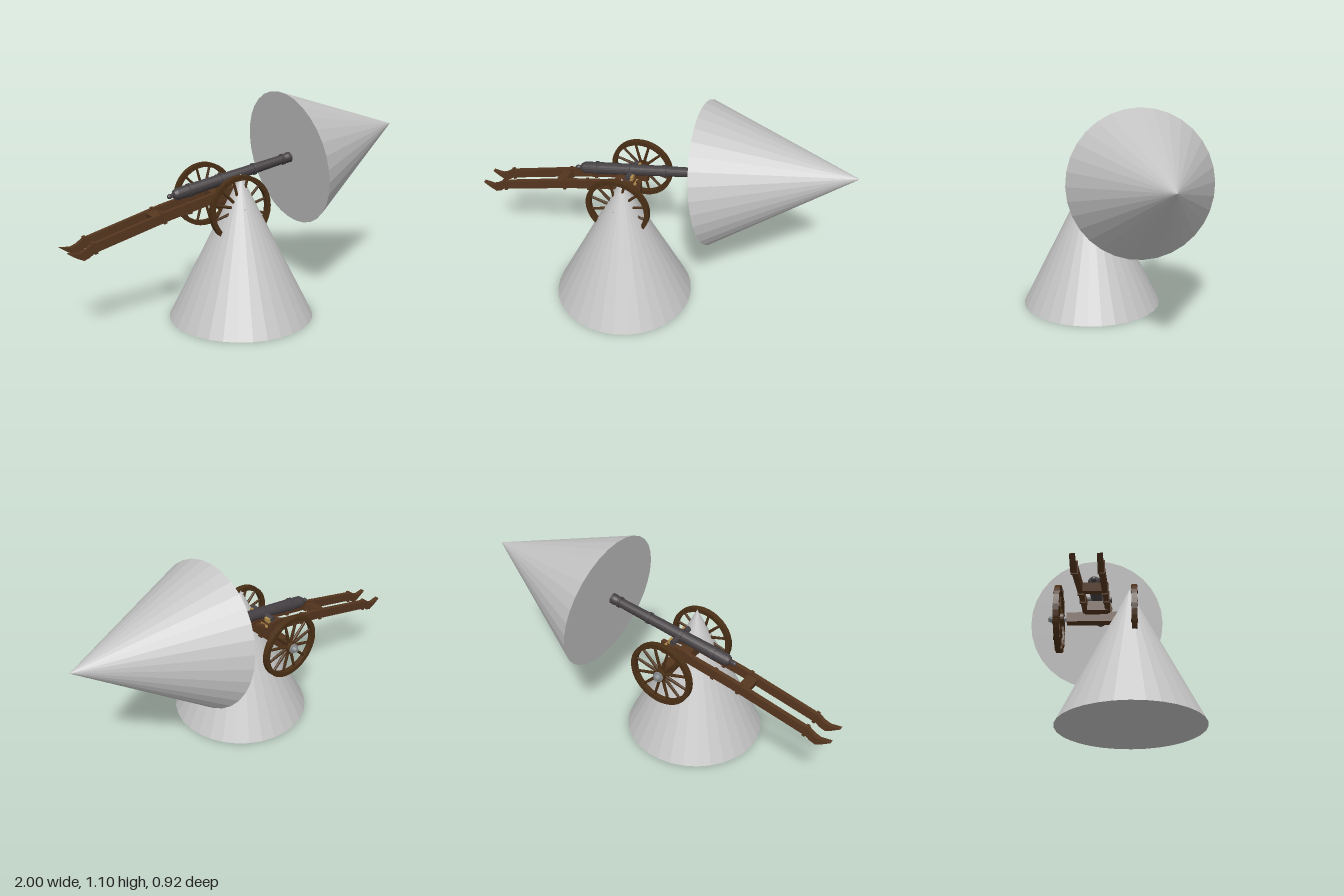
import * as THREE from 'three';

const mat = (name, color) => {
  const m = new THREE.MeshStandardMaterial({ color, flatShading: true });
  m.name = name;
  return m;
};

export function createModel() {
  const root = new THREE.Group();
  root.name = 'fieldGun';
  const stone = mat('pale grey', 0xc4c4c4);
  const wood = mat('brown wood', 0x55361f);
  const darkWood = mat('dark wheel wood', 0x4a2f16);
  const iron = mat('gun iron', 0x454043);
  const steel = mat('hub steel', 0x868a8c);
  const brass = mat('brass', 0xb08d4a);

  const add = (parent, name, geo, material, x = 0, y = 0, z = 0) => {
    const m = new THREE.Mesh(geo, material);
    m.name = name;
    m.position.set(x, y, z);
    parent.add(m);
    return m;
  };
  const box = (w, h, d) => new THREE.BoxGeometry(w, h, d);
  const rodZ = (r, len, sides = 16) => new THREE.CylinderGeometry(r, r, len, sides).rotateX(Math.PI / 2);
  const MID = -0.07; // centre plane of the gun in z
  const WX = -0.152, WY = 0.563; // axle position

  // Two large cones: one standing, one at the muzzle
  add(root, 'standingCone', new THREE.ConeGeometry(0.367, 0.735, 32), stone, -0.135, 0.3675, 0.095);
  const muzzleCone = add(root, 'muzzleCone', new THREE.ConeGeometry(0.367, 0.732, 32), stone, 0.635, 0.804, -0.093);
  muzzleCone.rotation.z = -Math.PI / 2 + 0.176;

  // Barrel, turned around its own axis (x = distance back from the muzzle)
  const barrel = new THREE.Group();
  barrel.name = 'barrel';
  barrel.position.set(0.275, 0.75, MID);
  barrel.rotation.z = -Math.PI / 2 + 0.171;
  root.add(barrel);
  const profile = [
    [0, -0.745], [0.008, -0.742], [0.013, -0.732], [0.01, -0.722], [0.009, -0.715],
    [0.022, -0.707], [0.03, -0.69], [0.031, -0.6], [0.029, -0.42], [0.024, -0.04],
    [0.028, -0.02], [0.028, 0.005], [0.016, 0.005], [0.016, -0.05], [0, -0.05],
  ].map(p => new THREE.Vector2(...p));
  add(barrel, 'gunTube', new THREE.LatheGeometry(profile, 20), iron);
  for (const [y, r] of [[-0.62, 0.035], [-0.43, 0.033], [-0.235, 0.031], [-0.05, 0.029]])
    add(barrel, 'barrelBand', new THREE.CylinderGeometry(r, r, 0.014, 20), iron, 0, y);
  add(root, 'trunnion', rodZ(0.015, 0.15), iron, -0.14, 0.672, MID);

  // Trail beams with cheeks in front and upturned ends behind
  const side = new THREE.Shape([
    [-0.07, 0.585], [-0.07, 0.655], [-0.2, 0.642], [-0.25, 0.622], [-0.473, 0.575],
    [-0.885, 0.468], [-0.912, 0.447], [-0.945, 0.434], [-1, 0.441], [-0.96, 0.414],
    [-0.925, 0.397], [-0.896, 0.408], [-0.875, 0.424], [-0.473, 0.526], [-0.22, 0.578],
  ].reverse().map(p => new THREE.Vector2(...p)));
  for (const s of [-1, 1]) {
    const z = MID + s * 0.056;
    add(root, 'trailBeam', new THREE.ExtrudeGeometry(side, { depth: 0.024, bevelEnabled: false }), wood, 0, 0, z - 0.012);
    for (const [x, y] of [[-0.87, 0.448], [-0.51, 0.54], [-0.37, 0.57]])
      add(root, 'beamBand', box(0.016, 0.058, 0.03), wood, x, y, z).rotation.z = 0.245;
    add(root, 'cheekPlate', box(0.085, 0.05, 0.036), wood, -0.115, 0.62, z);
    // Brass caps over the trunnions
    add(root, 'trunnionCap', box(0.032, 0.022, 0.03), brass, -0.13, 0.668, z);
    add(root, 'capBolt', rodZ(0.008, 0.04, 8), brass, -0.1, 0.645, z);
  }
  // Cross pieces between the beams
  add(root, 'rearTransom', box(0.055, 0.04, 0.115), wood, -0.527, 0.535, MID).rotation.z = 0.24;
  add(root, 'frontTransom', box(0.05, 0.05, 0.115), wood, -0.2, 0.6, MID);

  // Axle
  add(root, 'axleTree', box(0.05, 0.05, 0.3), wood, WX, WY, MID);
  add(root, 'axleRod', rodZ(0.012, 0.46), steel, WX, WY, MID);

  // Wheels: rim with bolted joints, twelve spokes, hub
  for (const s of [-1, 1]) {
    const wheel = new THREE.Group();
    wheel.name = s < 0 ? 'rightWheel' : 'leftWheel';
    wheel.position.set(WX, WY, MID + s * 0.19);
    if (s < 0) wheel.rotation.y = Math.PI;
    root.add(wheel);
    const rimProfile = [[0.147, -0.013], [0.171, -0.014], [0.171, 0.014], [0.147, 0.013], [0.147, -0.013]]
      .map(p => new THREE.Vector2(...p));
    add(wheel, 'rim', new THREE.LatheGeometry(rimProfile, 36).rotateX(Math.PI / 2), darkWood);
    for (let i = 0; i < 12; i++) {
      const a = (i + 0.5) * Math.PI / 6;
      const spoke = add(wheel, 'spoke', new THREE.CylinderGeometry(0.0065, 0.0085, 0.13, 8), darkWood,
        -Math.sin(a) * 0.09, Math.cos(a) * 0.09, 0);
      spoke.rotation.z = a;
      const b = i * Math.PI / 6;
      const joint = add(wheel, 'rimJoint', box(0.018, 0.014, 0.034), darkWood,
        -Math.sin(b) * 0.159, Math.cos(b) * 0.159, 0);
      joint.rotation.z = b;
    }
    add(wheel, 'hubBarrel', rodZ(0.031, 0.05), darkWood);
    add(wheel, 'hubPlate', rodZ(0.026, 0.02), steel, 0, 0, 0.024);
    add(wheel, 'hubCap', new THREE.CylinderGeometry(0.012, 0.02, 0.022, 16).rotateX(Math.PI / 2), steel, 0, 0, 0.042);
  }
  return root;
}
